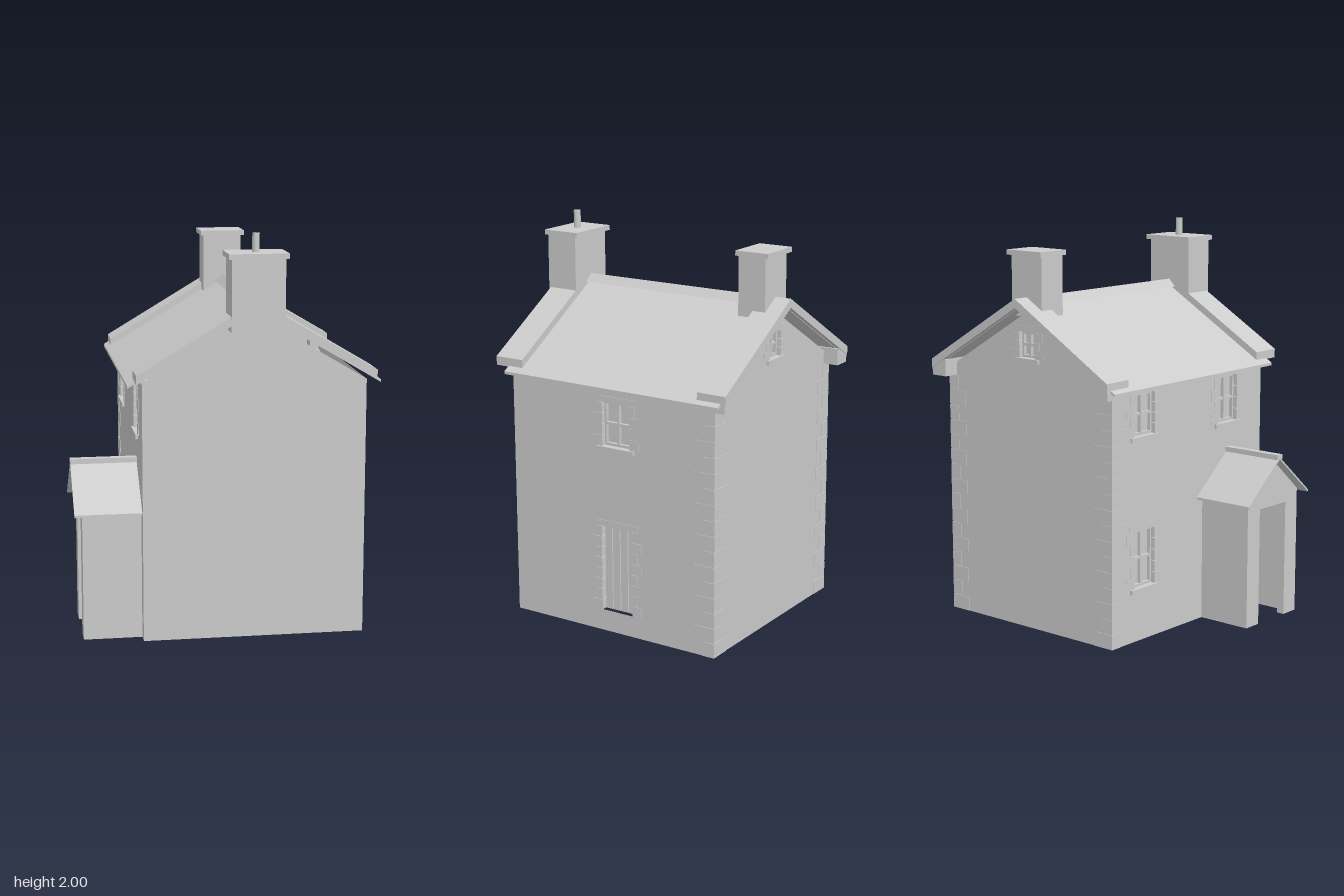
import * as THREE from 'three';

const stone = new THREE.MeshStandardMaterial({ color: 0xcccccc, side: THREE.DoubleSide });
stone.name = 'pale stone';

const RIDGE_X = 0.13, BACK = -0.6, FRONT = 0.585, LEFT = 0.68, RIGHT = -0.42;

function add(parent, name, geometry) {
  const mesh = new THREE.Mesh(geometry, stone);
  mesh.name = name;
  parent.add(mesh);
  return mesh;
}

// Box given by its limits on each axis
function box(parent, name, x0, x1, y0, y1, z0, z1) {
  const mesh = add(parent, name, new THREE.BoxGeometry(x1 - x0, y1 - y0, z1 - z0));
  mesh.position.set((x0 + x1) / 2, (y0 + y1) / 2, (z0 + z1) / 2);
  return mesh;
}

function polygon(points) {
  return new THREE.Shape(points.map(([x, y]) => new THREE.Vector2(x, y)));
}

// Profile in x and y, drawn out along z
function prism(parent, name, points, z0, z1) {
  const geometry = new THREE.ExtrudeGeometry(polygon(points), { depth: z1 - z0, bevelEnabled: false });
  geometry.translate(0, 0, z0);
  return add(parent, name, geometry);
}

// Sloping slab profile: heights at the near and far distance from the ridge
function slab(side, d0, d1, apex, slope, thick) {
  const x0 = RIDGE_X + side * d0, x1 = RIDGE_X + side * d1;
  const y0 = apex - slope * d0, y1 = apex - slope * d1;
  return [[x0, y0], [x1, y1], [x1, y1 - thick], [x0, y0 - thick]];
}

// Window or door in a wall: u across, v up, outside towards local +z
function opening(wall, o) {
  const g = new THREE.Group();
  g.name = o.door ? 'door' : 'window';
  wall.add(g);
  const { u0, u1, v0, v1 } = o;
  const count = Math.max(3, Math.round((v1 - v0) / 0.055));
  const step = (v1 - v0) / count;
  // alternating jamb stones and lintel
  for (let i = 0; i < count; i++) {
    const w = i % 2 ? 0.028 : 0.052;
    const a = v0 + i * step, b = a + step - 0.003;
    box(g, 'jambStone', u0 - w, u0 + 0.003, a, b, -0.05, 0.003);
    box(g, 'jambStone', u1 - 0.003, u1 + w, a, b, -0.05, 0.003);
  }
  box(g, 'lintel', u0 - 0.03, u1 + 0.03, v1, v1 + 0.03, -0.05, 0.003);
  if (o.door) {
    // vertical planks on a backing board
    box(g, 'doorBoard', u0, u1, v0, v1, -0.045, -0.035);
    const w = (u1 - u0) / 4;
    for (let i = 0; i < 4; i++)
      box(g, 'doorPlank', u0 + i * w + 0.003, u0 + (i + 1) * w - 0.003, v0, v1, -0.035, -0.027);
    return;
  }
  // sill, glass and glazing bars
  box(g, 'sill', u0 - 0.025, u1 + 0.025, v0 - 0.022, v0, -0.05, 0.014);
  box(g, 'pane', u0, u1, v0, v1, -0.045, -0.038);
  const t = 0.013, um = (u0 + u1) / 2, vm = (v0 + v1) / 2;
  for (const u of [u0, um - t / 2, u1 - t])
    box(g, 'frameUpright', u, u + t, v0, v1, -0.038, -0.02);
  for (const v of [v0, vm - t / 2, v1 - t])
    box(g, 'frameRail', u0, u1, v, v + t, -0.038, -0.021);
}

// Flat wall with cut openings, set in place by position and turn
function makeWall(parent, name, outline, openings, x, z, turn) {
  const wall = new THREE.Group();
  wall.name = name;
  wall.position.set(x, 0, z);
  wall.rotation.y = turn;
  parent.add(wall);
  const shape = polygon(outline);
  for (const { u0, u1, v0, v1 } of openings)
    shape.holes.push(new THREE.Path([[u0, v0], [u0, v1], [u1, v1], [u1, v0]].map(p => new THREE.Vector2(...p))));
  add(wall, name + 'Face', new THREE.ShapeGeometry(shape));
  openings.forEach(o => opening(wall, o));
}

function makeChimney(parent, name, x0, x1, y0, z0, z1, capX, capZ0, capZ1) {
  const g = new THREE.Group();
  g.name = name;
  parent.add(g);
  box(g, 'stack', x0, x1, y0, 1.89, z0, z1);
  box(g, 'cap', RIDGE_X - capX, RIDGE_X + capX, 1.885, 1.91, capZ0, capZ1);
  return g;
}

function makePorch(parent) {
  const g = new THREE.Group();
  g.name = 'porch';
  parent.add(g);
  const mid = 0.31;
  // side walls
  for (const s of [-1, 1]) {
    const a = mid + s * 0.21, b = mid + s * 0.17;
    box(g, 'porchSide', -0.67, RIGHT, 0, 0.655, Math.min(a, b), Math.max(a, b));
  }
  // gabled front with doorway
  const front = prism(g, 'porchFront', [
    [-0.21, 0], [-0.11, 0], [-0.11, 0.6], [0.11, 0.6], [0.11, 0], [0.21, 0],
    [0.21, 0.655], [0, 0.835], [-0.21, 0.655],
  ], -0.04, 0);
  front.position.set(-0.71, 0, mid);
  front.rotation.y = -Math.PI / 2;
  // roof slopes and ridge
  for (const s of [-1, 1]) {
    const roof = prism(g, 'porchRoof', [[0, 0.857], [s * 0.255, 0.645], [s * 0.255, 0.633], [0, 0.845]], 0, 0.33);
    roof.position.set(RIGHT, 0, mid);
    roof.rotation.y = -Math.PI / 2;
  }
  box(g, 'porchRidge', -0.75, RIGHT, 0.845, 0.87, mid - 0.02, mid + 0.02);
}

export function createModel() {
  const model = new THREE.Group();
  model.name = 'stoneHouse';

  // Walls
  const eave = 1.283, apex = 1.61;
  const gable = [[-0.55, 0], [0.55, 0], [0.55, eave], [0, apex], [-0.55, eave]];
  makeWall(model, 'frontWall', gable, [], RIDGE_X, FRONT, 0);
  makeWall(model, 'backWall', gable, [{ u0: -0.055, u1: 0.055, v0: 1.38, v1: 1.51 }], RIDGE_X, BACK, Math.PI);
  makeWall(model, 'leftWall', [[-FRONT, 0], [-BACK, 0], [-BACK, eave], [-FRONT, eave]], [
    { u0: -0.045, u1: 0.12, v0: 0.967, v1: 1.19 },
    { u0: -0.055, u1: 0.13, v0: 0.11, v1: 0.555, door: true },
  ], LEFT, 0, Math.PI / 2);
  makeWall(model, 'rightWall', [[BACK, 0], [FRONT, 0], [FRONT, eave], [BACK, eave]], [
    { u0: -0.44, u1: -0.28, v0: 1.03, v1: 1.24 },
    { u0: 0.22, u1: 0.38, v0: 1.0, v1: 1.24 },
    { u0: -0.44, u1: -0.28, v0: 0.27, v1: 0.56 },
    { u0: 0.22, u1: 0.4, v0: 0.03, v1: 0.52, door: true },
  ], RIGHT, 0, -Math.PI / 2);

  // Alternating corner stones at the back
  const courses = 16, h = 1.245 / courses;
  for (const [edge, s] of [[LEFT, 1], [RIGHT, -1]]) {
    for (let i = 0; i < courses; i++) {
      const w = i % 2 ? 0.06 : 0.11, d = i % 2 ? 0.11 : 0.06;
      const outer = edge + s * 0.003, inner = edge - s * w;
      box(model, 'cornerStone', Math.min(outer, inner), Math.max(outer, inner),
        i * h, (i + 1) * h - 0.004, BACK - 0.003, BACK + d);
    }
    // kneeler under the back coping
    const a = edge + s * 0.045, b = edge - s * 0.05;
    box(model, 'kneeler', Math.min(a, b), Math.max(a, b), 1.245, 1.33, -0.68, -0.53);
  }

  // Roof slopes and gable copings
  for (const s of [-1, 1]) {
    prism(model, 'roofSlope', slab(s, 0, 0.62, 1.648, 0.595, 0.014), -0.66, FRONT);
    prism(model, 'frontCoping', slab(s, 0.1, 0.585, 1.688, 0.595, 0.045), 0.5, 0.66);
    prism(model, 'backCoping', slab(s, 0, 0.595, 1.682, 0.595, 0.045), -0.685, -0.53);
  }
  prism(model, 'ridgeTile', [[0.092, 1.64], [0.13, 1.68], [0.168, 1.64], [0.13, 1.645]], -0.55, 0.52);

  // Chimneys
  const front = makeChimney(model, 'frontChimney', 0, 0.26, 1.535, 0.5, 0.67, 0.145, 0.48, 0.68);
  const pot = add(front, 'chimneyPot', new THREE.CylinderGeometry(0.018, 0.018, 0.1, 16));
  pot.position.set(RIDGE_X, 1.95, 0.58);
  makeChimney(model, 'backChimney', 0.03, 0.23, 1.585, -0.6, -0.45, 0.115, -0.62, -0.44);

  makePorch(model);
  return model;
}
